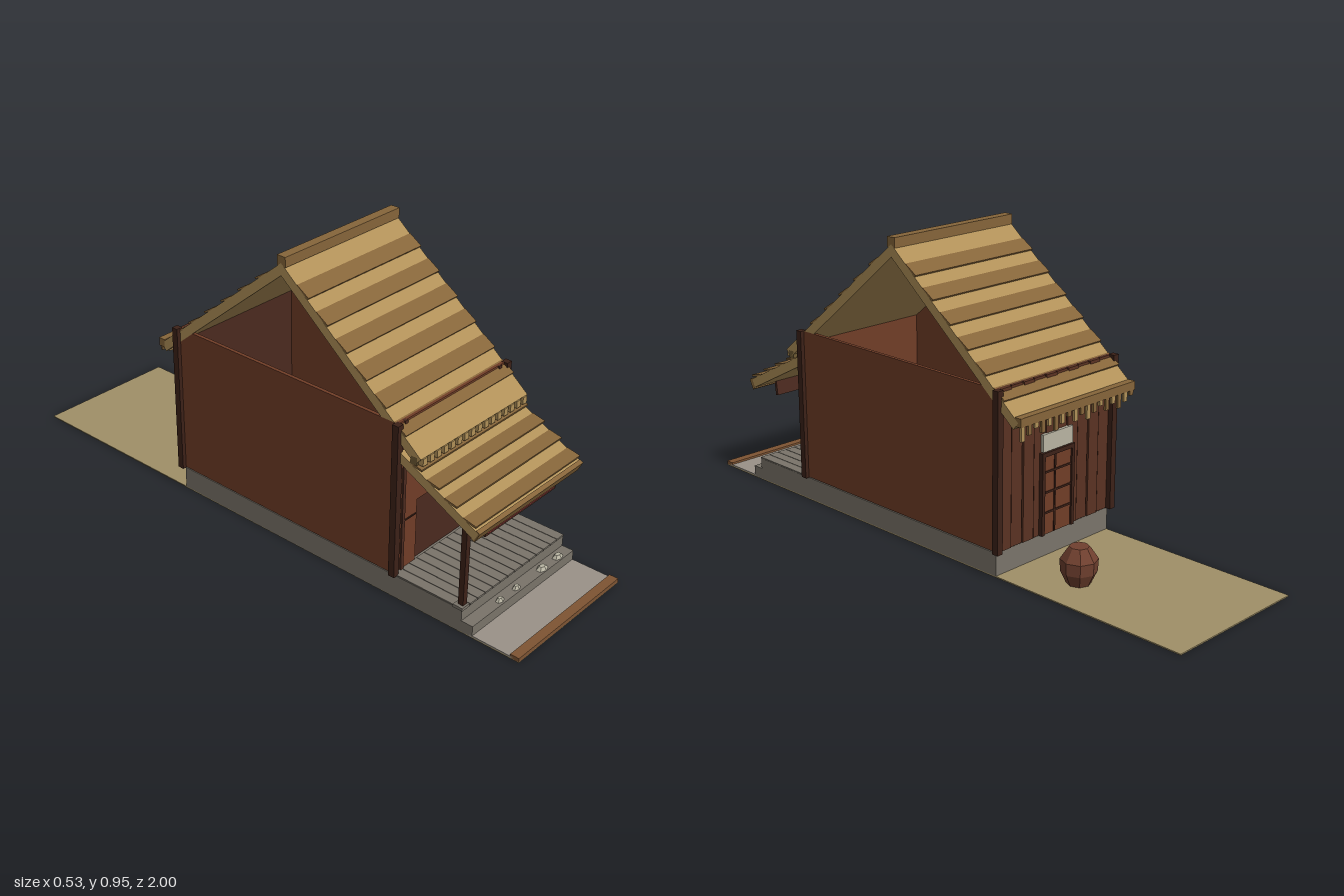
import * as THREE from 'three';

const C = {
  straw: 0xb09058, strawDark: 0x86653a, strawShade: 0x6e5a34, wall: 0x703d27, plank: 0x5a3222,
  dark: 0x4b2a1f, post: 0x3c2118, stone: 0x7a746a, paving: 0x9a9288, earth: 0xa09068,
  curb: 0x7e5433, red: 0x963636, pebble: 0xb8b4a2, pot: 0x70402f
};
const mats = {};
const mat = (c) => (mats[c] ??= new THREE.MeshStandardMaterial({ color: C[c], flatShading: true }));

function add(parent, name, geometry, color, x = 0, y = 0, z = 0) {
  const mesh = new THREE.Mesh(geometry, mat(color));
  mesh.name = name;
  mesh.position.set(x, y, z);
  parent.add(mesh);
  return mesh;
}

// Box given by its extents on each axis
function span(parent, name, color, [x0, x1], [y0, y1], [z0, z1]) {
  return add(parent, name, new THREE.BoxGeometry(x1 - x0, y1 - y0, z1 - z0), color,
    (x0 + x1) / 2, (y0 + y1) / 2, (z0 + z1) / 2);
}

// Sloping roof panel: local +z runs downhill, top surface at local y = 0
function roofPanel(parent, name, y, z, angle, length, back, lips, width, lift) {
  const panel = new THREE.Group();
  panel.name = name;
  panel.rotation.order = 'YXZ';
  panel.rotation.set(angle, back ? Math.PI : 0, 0);
  panel.position.set(0, y, z);
  span(panel, 'thatchSlab', 'straw', [-0.25, 0.25], [-0.03, 0], [0, length]);
  // Overlapping courses, each raised at its lower edge
  for (const lip of lips) {
    const course = add(panel, 'thatchCourse', new THREE.BoxGeometry(0.5, 0.006, width),
      'strawDark', 0, lift / 2 - 0.001, lip - width / 2);
    course.rotation.x = -Math.atan(lift / width);
  }
  parent.add(panel);
  return panel;
}

function buildGround(g) {
  span(g, 'groundSlab', 'earth', [-0.25, 0.25], [0, 0.004], [-1, 1]);
  span(g, 'frontPaving', 'paving', [-0.25, 0.25], [0.002, 0.008], [0.83, 0.98]);
  span(g, 'curb', 'curb', [-0.25, 0.25], [0.002, 0.015], [0.97, 1]);
  span(g, 'foundation', 'stone', [-0.25, 0.25], [0.002, 0.077], [-0.32, 0.8]);
  span(g, 'frontStep', 'stone', [-0.25, 0.25], [0.002, 0.04], [0.79, 0.84]);
  // Porch boards
  const n = 14, w = 0.5 / n;
  for (let i = 0; i < n; i++) {
    const x = -0.25 + i * w;
    span(g, 'porchBoard', 'stone', [x + 0.001, x + w - 0.001], [0.075, 0.081], [0.55, 0.802]);
  }
  // Pebbles on the step
  for (const [x, r] of [[-0.1, 0.017], [-0.02, 0.017], [0.11, 0.024], [0.19, 0.022]]) {
    const p = add(g, 'pebble', new THREE.CylinderGeometry(r * 0.5, r, 0.011, 6), 'pebble', x, 0.045, 0.824);
    p.scale.z = 0.65;
  }
}

function buildWalls(g) {
  for (const s of [-1, 1]) {
    add(g, 'sideWall', new THREE.BoxGeometry(0.012, 0.5, 0.87), 'wall', s * 0.244, 0.33, 0.115);
    for (const z of [0.553, -0.328])
      add(g, 'cornerPost', new THREE.BoxGeometry(0.022, 0.503, 0.022), 'post', s * 0.252, 0.329, z);
    // Front panels beside the doorway
    add(g, 'frontPanel', new THREE.BoxGeometry(0.095, 0.5, 0.014), 'wall', s * 0.2, 0.33, 0.545);
    add(g, 'panelRail', new THREE.BoxGeometry(0.05, 0.004, 0.004), 'post', s * 0.183, 0.245, 0.553);
    add(g, 'panelStile', new THREE.BoxGeometry(0.012, 0.5, 0.012), 'dark', s * 0.217, 0.33, 0.551);
  }
  span(g, 'frontDoor', 'dark', [-0.16, 0.16], [0.08, 0.3], [0.532, 0.543]);
  span(g, 'frontLintel', 'wall', [-0.16, 0.16], [0.29, 0.58], [0.538, 0.552]);

  // Back wall of vertical planks
  span(g, 'backWall', 'dark', [-0.245, 0.245], [0.08, 0.58], [-0.318, -0.305]);
  const n = 10, w = 0.48 / n;
  for (let i = 0; i < n; i++) {
    const x = -0.24 + i * w;
    span(g, 'backPlank', 'plank', [x + 0.002, x + w - 0.002], [0.08, 0.58], [-0.324 - (i % 2) * 0.003, -0.317]);
  }
  // Back door with rails, jambs and a pale transom
  span(g, 'backDoor', 'wall', [-0.06, 0.06], [0.08, 0.335], [-0.332, -0.318]);
  for (const s of [-1, 1])
    add(g, 'doorJamb', new THREE.BoxGeometry(0.012, 0.26, 0.018), 'post', s * 0.065, 0.21, -0.329);
  for (const y of [0.15, 0.215, 0.28])
    add(g, 'doorRail', new THREE.BoxGeometry(0.12, 0.006, 0.004), 'post', 0, y, -0.333);
  add(g, 'doorStile', new THREE.BoxGeometry(0.006, 0.25, 0.004), 'post', 0.012, 0.207, -0.333);
  span(g, 'doorHead', 'post', [-0.071, 0.071], [0.33, 0.343], [-0.338, -0.318]);
  span(g, 'transom', 'pebble', [-0.065, 0.065], [0.345, 0.4], [-0.334, -0.318]);
}

function buildMainRoof(g) {
  const angle = Math.atan2(0.43, 0.52), lips = [];
  for (let i = 0; i < 6; i++) lips.push(0.13 + i * 0.094);
  for (const back of [false, true])
    roofPanel(g, back ? 'backRoof' : 'frontRoof', 0.93, 0.115, angle, 0.675, back, lips, 0.052, 0.006);
  span(g, 'ridgeBeam', 'strawDark', [-0.25, 0.25], [0.92, 0.952], [0.1, 0.132]);
  // Straw ends under the front eave
  span(g, 'frontEaveBoard', 'strawShade', [-0.25, 0.25], [0.475, 0.5], [0.6, 0.622]);
  for (let i = 0; i < 16; i++)
    add(g, 'frontEaveEnd', new THREE.BoxGeometry(0.019, 0.023, 0.03), 'straw', -0.234 + i * 0.0312, 0.488, 0.624);
  // Ragged straw fringe under the back eave
  span(g, 'backEaveBoard', 'strawDark', [-0.25, 0.25], [0.488, 0.515], [-0.416, -0.392]);
  for (let i = 0; i < 18; i++) {
    const len = 0.03 + 0.028 * ((i * 7) % 5) / 4;
    add(g, 'backFringe', new THREE.BoxGeometry(0.015, len, 0.008), i % 2 ? 'straw' : 'strawDark',
      -0.238 + i * 0.028, 0.502 - len / 2, -0.41);
  }
}

function buildPorch(g) {
  const angle = Math.atan2(0.145, 0.28);
  const roof = roofPanel(g, 'porchRoof', 0.495, 0.56, angle, 0.315, false,
    [0.085, 0.155, 0.225, 0.3], 0.045, 0.012);
  span(roof, 'porchEaveBoard', 'strawDark', [-0.25, 0.25], [-0.034, 0.003], [0.305, 0.319]);
  // Porch post on its pad
  add(g, 'porchPost', new THREE.BoxGeometry(0.018, 0.28, 0.018), 'post', -0.235, 0.22, 0.79);
  add(g, 'postPad', new THREE.BoxGeometry(0.034, 0.01, 0.034), 'stone', -0.238, 0.082, 0.788);
  // Hanging signboard, left blank
  const sign = new THREE.Group();
  sign.name = 'signboard';
  sign.position.set(0, 0.318, 0.806);
  sign.rotation.x = 0.12;
  add(sign, 'signFrame', new THREE.BoxGeometry(0.34, 0.066, 0.01), 'dark');
  add(sign, 'signPanel', new THREE.BoxGeometry(0.322, 0.052, 0.012), 'red', 0, 0.002, 0.001);
  add(sign, 'signGroove', new THREE.BoxGeometry(0.22, 0.003, 0.002), 'post', -0.005, 0.003, 0.0075);
  add(sign, 'signGroove', new THREE.BoxGeometry(0.055, 0.003, 0.002), 'post', -0.057, -0.014, 0.0075);
  g.add(sign);
}

function buildPot(g) {
  const profile = [[0, 0], [0.036, 0], [0.055, 0.04], [0.057, 0.078], [0.034, 0.112], [0.03, 0.117], [0, 0.117]]
    .map(([r, y]) => new THREE.Vector2(r, y));
  add(g, 'clayPot', new THREE.LatheGeometry(profile, 8), 'pot', 0.11, 0.003, -0.52);
}

export function createModel() {
  const model = new THREE.Group();
  model.name = 'thatchedHouse';
  const parts = { ground: buildGround, walls: buildWalls, mainRoof: buildMainRoof, porch: buildPorch, pot: buildPot };
  for (const [name, build] of Object.entries(parts)) {
    const group = new THREE.Group();
    group.name = name;
    build(group);
    model.add(group);
  }
  return model;
}
